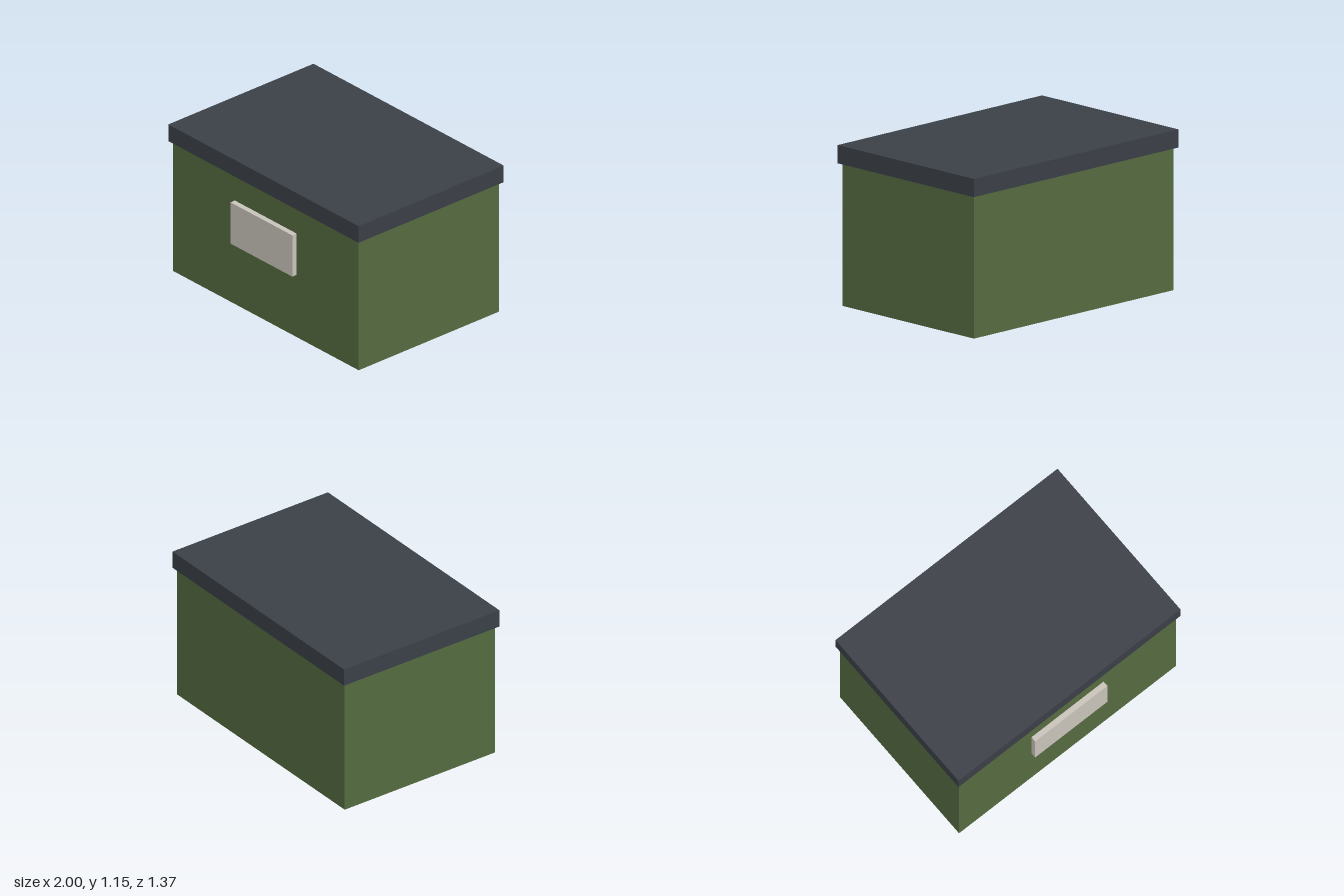
import * as THREE from 'three';

const mat = (name, color) => {
  const m = new THREE.MeshStandardMaterial({ color });
  m.name = name;
  return m;
};

export function createModel() {
  const green = mat('olive green', 0x556b40);
  const slate = mat('dark slate', 0x3b4047);
  const paper = mat('pale grey', 0xc9c4bb);

  const model = new THREE.Group();
  model.name = 'storageBox';

  // Box given by its lowest and highest corners
  const addBox = (name, material, [x0, y0, z0], [x1, y1, z1]) => {
    const mesh = new THREE.Mesh(new THREE.BoxGeometry(x1 - x0, y1 - y0, z1 - z0), material);
    mesh.position.set((x0 + x1) / 2, (y0 + y1) / 2, (z0 + z1) / 2);
    mesh.name = name;
    model.add(mesh);
  };

  // Box body
  addBox('body', green, [-0.977, 0, -0.661], [0.977, 1.024, 0.643]);
  // Overhanging lid
  addBox('lid', slate, [-1, 1.024, -0.684], [1, 1.155, 0.665]);
  // Raised label plate on the front
  addBox('label', paper, [-0.325, 0.492, 0.643], [0.325, 0.818, 0.684]);

  return model;
}
